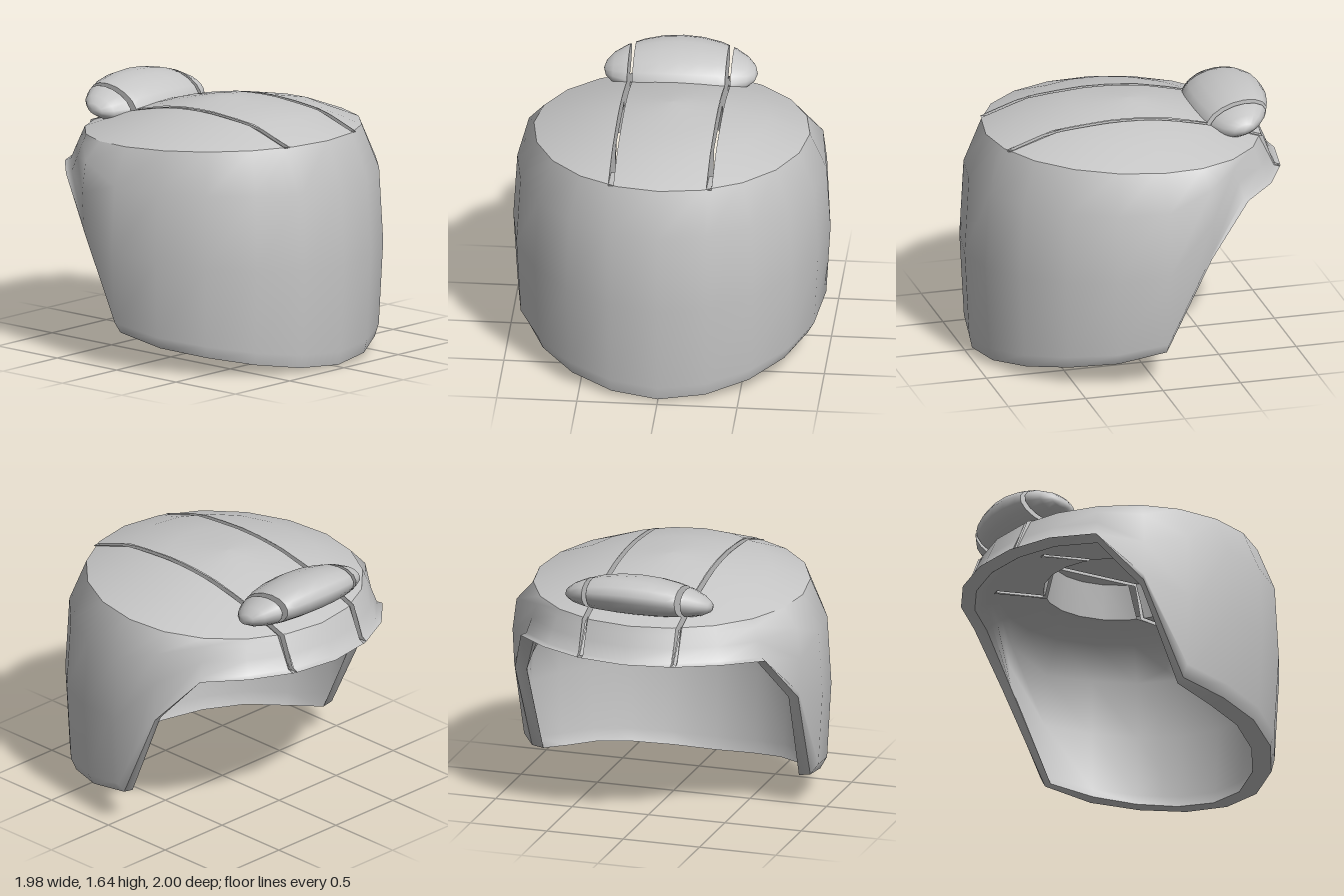
import * as THREE from 'three';

const N = 20;                    // sides of the shell
const SLOT = [0.29, 0.322];      // both slots, measured as |x|
// underside height for each column, front to back
const RIM = [0.015, 0.035, 0.075, 0.12, 0.16, 0.22, 0.82, 1.13, 1.145, 1.145, 1.145];
const half = k => Math.min(k, N - k);

// point on the egg-shaped plan: column k, scale s, height y
function at(k, s, y) {
  const a = k / N * Math.PI * 2, c = Math.cos(a);
  return [0.99 * s * Math.sin(a), y, -0.05 + (c > 0 ? 1.05 : 0.95) * s * c];
}

// closed ring surface; fn(row, column) gives [scale, height]
function rings(rows, fn, flip = false) {
  const pos = [], idx = [];
  for (let i = 0; i < rows; i++) for (let k = 0; k < N; k++) pos.push(...at(k, ...fn(i, k)));
  for (let i = 0; i < rows - 1; i++) for (let k = 0; k < N; k++) {
    const a = i * N + k, b = i * N + (k + 1) % N, c = b + N, d = a + N;
    idx.push(...(flip ? [a, c, b, a, d, c] : [a, b, c, a, c, d]));
  }
  const g = new THREE.BufferGeometry();
  g.setAttribute('position', new THREE.Float32BufferAttribute(pos, 3));
  g.setIndex(idx);
  g.computeVertexNormals();
  return g;
}

// keep the part of a polygon on one side of an axis plane
function clip(poly, axis, value, sign) {
  const out = [];
  poly.forEach((p, i) => {
    const q = poly[(i + 1) % poly.length];
    const dp = sign * (p[axis] - value), dq = sign * (q[axis] - value);
    if (dp >= 0) out.push(p);
    if (dp * dq < 0) out.push(p.map((v, j) => v + (q[j] - v) * dp / (dp - dq)));
  });
  return out;
}

// remove the slots from a surface between two depths
function cutSlots(geo, zMin, zMax) {
  const g = geo.toNonIndexed();
  const P = g.attributes.position, M = g.attributes.normal, pos = [], nor = [];
  const planes = [[2, zMin], [2, zMax]];
  for (const v of SLOT) planes.push([0, v], [0, -v]);
  for (let t = 0; t < P.count; t += 3) {
    let parts = [[0, 1, 2].map(j => [P.getX(t + j), P.getY(t + j), P.getZ(t + j),
      M.getX(t + j), M.getY(t + j), M.getZ(t + j)])];
    for (const [axis, v] of planes)
      parts = parts.flatMap(p => [clip(p, axis, v, 1), clip(p, axis, v, -1)]).filter(p => p.length > 2);
    for (const p of parts) {
      const mid = axis => p.reduce((s, v) => s + v[axis], 0) / p.length;
      const x = Math.abs(mid(0)), z = mid(2);
      if (x > SLOT[0] && x < SLOT[1] && z > zMin && z < zMax) continue;
      for (let j = 1; j < p.length - 1; j++) for (const v of [p[0], p[j], p[j + 1]]) {
        pos.push(v[0], v[1], v[2]);
        nor.push(v[3], v[4], v[5]);
      }
    }
  }
  const out = new THREE.BufferGeometry();
  out.setAttribute('position', new THREE.Float32BufferAttribute(pos, 3));
  out.setAttribute('normal', new THREE.Float32BufferAttribute(nor, 3));
  return out;
}

export function createModel() {
  const group = new THREE.Group();
  const grey = new THREE.MeshStandardMaterial({ color: 0xc6c6c6, side: THREE.DoubleSide });
  grey.name = 'plain grey';
  const add = (name, geo, parent = group) => {
    const m = new THREE.Mesh(geo, grey);
    m.name = name;
    parent.add(m);
    return m;
  };
  const tilt = k => Math.cos(k / N * Math.PI * 2);
  const F = [0, 0.06, 0.45, 0.8, 1];
  const topY = k => 1.395 + 0.035 * tilt(k);

  // outer wall: bulging at the front and sides, flaring to a small lip at the back
  const wallScale = (i, k) => {
    const h = half(k);
    if (h >= 7) return [1, 0.962, 0.925, 0.89, 0.87][i];
    if (h === 6) return [0.985, 0.99, 1, 0.975, 0.87][i];
    return [0.92 + 0.035 * tilt(k), 0.973, 1, 0.975, 0.87][i];
  };
  const wallY = (i, k, top) => RIM[half(k)] + (top - RIM[half(k)]) * F[i];
  add('outerWall', cutSlots(rings(5, (i, k) => [wallScale(i, k), wallY(i, k, topY(k))]), -2, 0));

  // domed top, leaning down towards the back
  const dome = [[0.87, 1.395, 0.035], [0.62, 1.488, 0.042], [0.35, 1.543, 0.022], [0.12, 1.574, 0.006], [0, 1.58, 0]];
  add('domedTop', cutSlots(rings(5, (i, k) => [dome[i][0], dome[i][1] + dome[i][2] * tilt(k)]), -2, 2));

  // underside edge joining both walls
  const thickness = k => half(k) < 5 ? 0.115 : half(k) < 7 ? 0.075 : 0.09;
  const innerScale = (i, k) => i === 4 ? 0.75 : wallScale(i, k) - thickness(k);
  const drop = k => half(k) >= 7 ? 0.025 : 0.012;
  add('bottomEdge', rings(2, (i, k) => i ? [wallScale(0, k), RIM[half(k)]]
    : [innerScale(0, k), RIM[half(k)] - drop(k)]));

  // lining and low ceiling
  add('lining', cutSlots(rings(6, (i, k) => i === 5 ? [0.46, 1.2]
    : [innerScale(i, k), wallY(i, k, 1.16) - (i ? 0 : drop(k))], true), -0.72, 0.6));

  // round recess in the ceiling
  add('recessWall', cutSlots(rings(2, i => i ? [0.42, 1.42] : [0.46, 1.2], true), -2, 2));
  add('recessCeiling', cutSlots(rings(2, i => [i ? 0 : 0.42, 1.42], true), -2, 2));

  // tilted oval pad on the back of the top, ends drooping slightly
  const TILT = 0.26, C = [0, 1.502, -0.675], R = [0.48, 0.127, 0.25];
  const droop = x => 0.15 * x * x;
  const pad = new THREE.SphereGeometry(1, 16, 12);
  pad.rotateZ(Math.PI / 2);
  pad.scale(...R).rotateX(TILT).translate(...C);
  const pp = pad.attributes.position;
  for (let i = 0; i < pp.count; i++) pp.setY(i, pp.getY(i) - droop(pp.getX(i)));
  add('pad', cutSlots(pad, -2, 2));

  // slot sides, floors and pad cut faces
  const side = new THREE.Shape([[0.81, 1.425], [0.58, 1.505], [0.45, 1.53], [0.3, 1.544], [0.15, 1.553], [0, 1.55],
    [-0.2, 1.532], [-0.4, 1.492], [-0.62, 1.435], [-0.836, 1.36], [-0.91, 1.165], [-0.95, 1.145], [-0.89, 1.14],
    [-0.76, 1.34], [-0.72, 1.16], [-0.38, 1.2], [-0.33, 1.42], [0.27, 1.42], [0.31, 1.2], [0.6, 1.16],
    [0.6, 1.41]].map(p => new THREE.Vector2(...p)));
  const floors = [[[0.6, 1.15], [0.6, 1.41], [0.81, 1.425]], [[-0.89, 1.14], [-0.73, 1.34], [-0.72, 1.15]]];
  for (const s of [1, -1]) {
    const slot = new THREE.Group();
    slot.name = s > 0 ? 'leftSlot' : 'rightSlot';
    group.add(slot);
    for (const v of SLOT) {
      add('slotSide', new THREE.ShapeGeometry(side).rotateY(-Math.PI / 2).translate(s * v, 0, 0), slot);
      const f = Math.sqrt(1 - (v / R[0]) ** 2);
      const face = new THREE.CircleGeometry(1, 16).rotateY(-Math.PI / 2);
      face.scale(1, R[1] * f, R[2] * f).rotateX(TILT).translate(s * v, C[1] - droop(v), C[2]);
      add('padCutFace', face, slot);
    }
    for (const path of floors) for (let i = 0; i < 2; i++) {
      const [z0, y0] = path[i], [z1, y1] = path[i + 1];
      const strip = new THREE.PlaneGeometry(SLOT[1] - SLOT[0], Math.hypot(z1 - z0, y1 - y0));
      strip.rotateX(Math.atan2(z1 - z0, y1 - y0));
      strip.translate(s * (SLOT[0] + SLOT[1]) / 2, (y0 + y1) / 2, (z0 + z1) / 2);
      add('slotFloor', strip, slot);
    }
  }
  return group;
}
